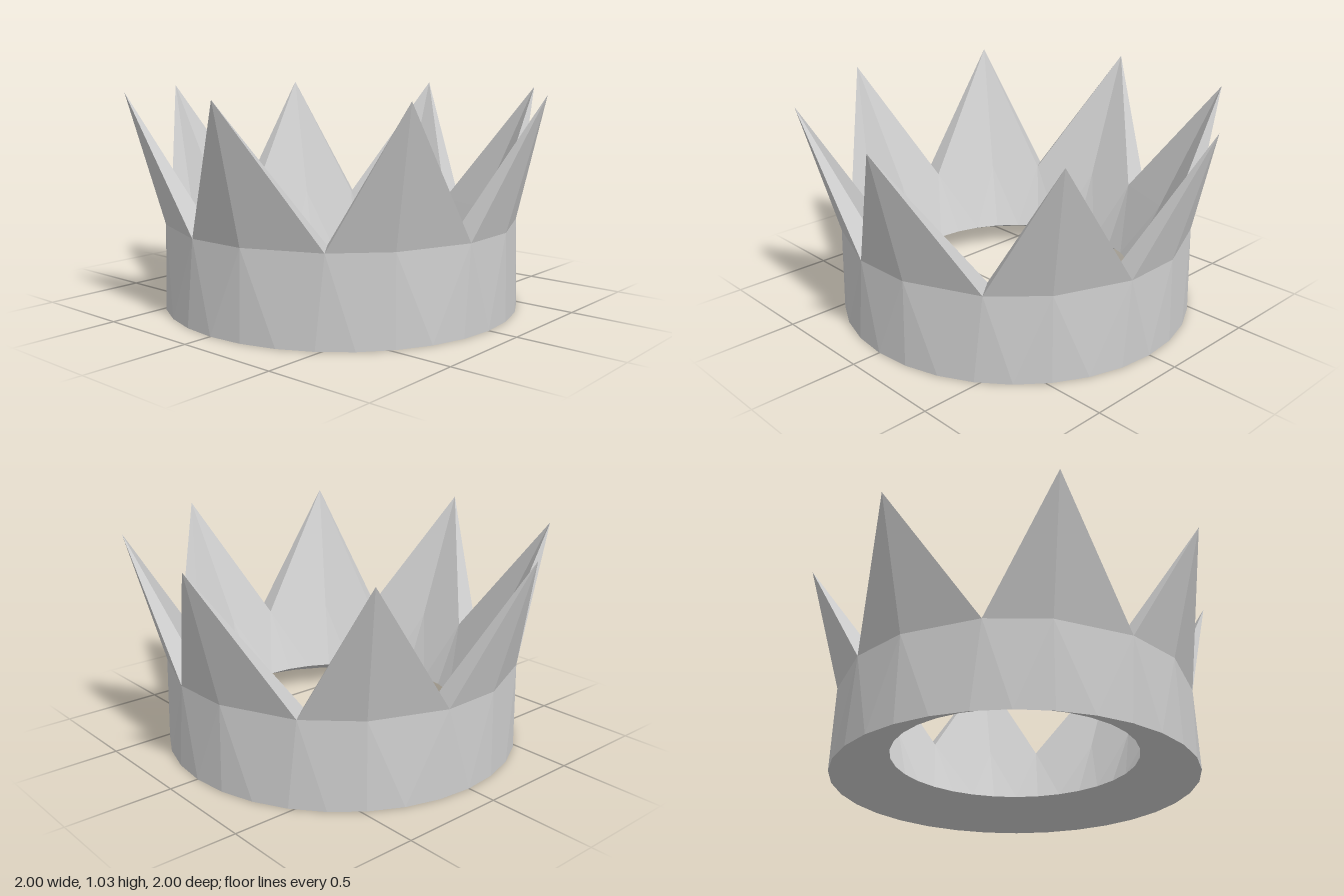
import * as THREE from 'three';

const POINTS = 8, STEP = Math.PI / 16;   // eight points, 32-sided rings
const TIP = STEP;                        // angle of the first tip
const VALLEY = THREE.MathUtils.degToRad(36.5); // valley following it
const TURN = 2 * Math.PI / POINTS;

// point on a circle: angle measured from +z towards +x
const at = (angle, r, y) => [r * Math.sin(angle), y, r * Math.cos(angle)];

function meshFrom(name, tris, material) {
  const geometry = new THREE.BufferGeometry();
  geometry.setAttribute('position', new THREE.Float32BufferAttribute(tris.flat(2), 3));
  geometry.computeVertexNormals();
  const mesh = new THREE.Mesh(geometry, material);
  mesh.name = name;
  return mesh;
}

// one wall of the band: a fine lower ring joined to the tip/valley ring above
function wall(rLow, yLow, rHigh, yHigh, inward) {
  const tris = [];
  for (let k = 0; k < POINTS; k++) {
    const turn = k * TURN;
    const b = [0, 1, 2, 3, 4].map(i => at(TIP + turn + i * STEP, rLow, yLow));
    const t0 = at(TIP + turn, rHigh, yHigh);
    const v = at(VALLEY + turn, rHigh, yHigh);
    const t1 = at(TIP + turn + TURN, rHigh, yHigh);
    tris.push([b[0], b[1], t0], [t0, b[1], v], [b[1], b[2], v],
      [b[2], b[3], v], [v, b[3], t1], [b[3], b[4], t1]);
  }
  return inward ? tris.map(t => t.reverse()) : tris;
}

export function createModel() {
  const group = new THREE.Group();
  group.name = 'crown';
  const material = new THREE.MeshStandardMaterial({ color: 0xcccccc, flatShading: true, side: THREE.DoubleSide });

  // band walls
  group.add(meshFrom('outerBand', wall(0.86, 0, 0.85, 0.41, false), material));
  group.add(meshFrom('innerBand', wall(0.59, 0.12, 0.74, 0.42, true), material));

  // sloping underside between the two lower rings
  const under = [];
  for (let i = 0; i < 32; i++) {
    const a = i * STEP, b = a + STEP;
    const i0 = at(a, 0.59, 0.12), i1 = at(b, 0.59, 0.12);
    const o0 = at(a, 0.86, 0), o1 = at(b, 0.86, 0);
    under.push([i0, i1, o1], [i0, o1, o0]);
  }
  group.add(meshFrom('underside', under, material));

  // flaring points: two outer, two inner and two flank faces meeting at a tip
  const angles = [VALLEY - TURN, TIP, VALLEY];
  const [o0, o1, o2] = angles.map(a => at(a, 0.85, 0.41));
  const [n0, n1, n2] = angles.map(a => at(a, 0.74, 0.42));
  const tip = at(TIP, 1.02, 1.03);
  const faces = [[o0, o1, tip], [o1, o2, tip], [n1, n0, tip], [n2, n1, tip],
    [n0, o0, tip], [o2, n2, tip]];
  for (let k = 0; k < POINTS; k++) {
    const point = meshFrom('crownPoint', faces, material);
    point.rotation.y = k * TURN;
    group.add(point);
  }
  return group;
}
